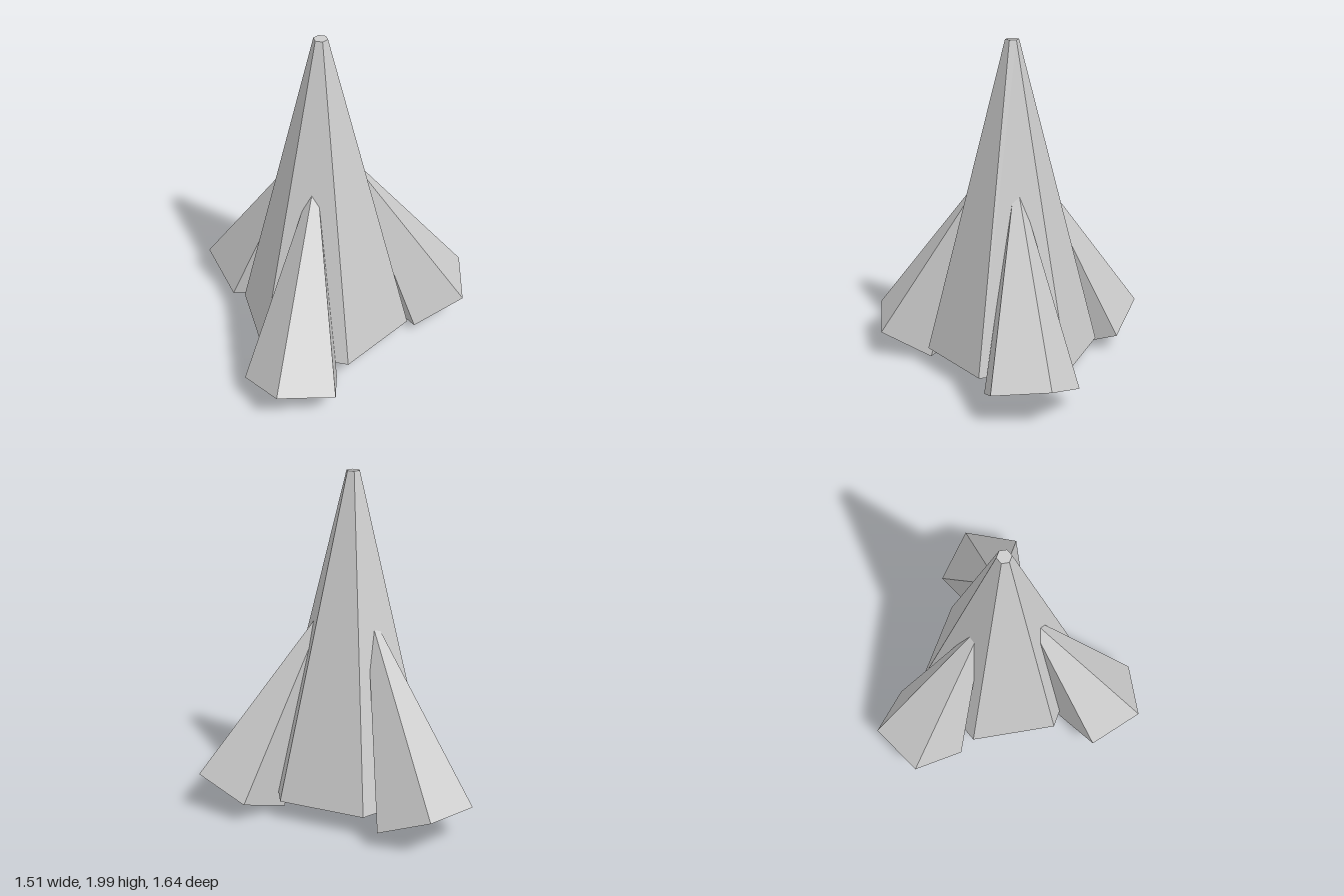
import * as THREE from 'three';

export function createModel() {
  const model = new THREE.Group();
  model.name = 'spireCluster';
  const grey = new THREE.MeshStandardMaterial({ color: 0xcccccc, flatShading: true });
  grey.name = 'light grey';

  const axisX = -0.158, axisZ = 0.015;

  // tall six-sided central spire with a small flat tip
  const spire = new THREE.Mesh(new THREE.CylinderGeometry(0.04, 0.518, 1.875, 6), grey);
  spire.name = 'mainSpire';
  spire.position.set(axisX, 0.125 + 1.875 / 2, axisZ);
  model.add(spire);

  // three five-sided spikes leaning in against the spire
  const tilt = THREE.MathUtils.degToRad(25);
  const height = 1.22;
  const names = ['leftSpike', 'frontSpike', 'backSpike'];
  const up = new THREE.Vector3(0, 1, 0);
  names.forEach((name, i) => {
    const a = (i * Math.PI * 2) / 3;
    const out = new THREE.Vector3(Math.cos(a), 0, Math.sin(a));
    const axis = out.clone().multiplyScalar(-Math.sin(tilt)).addScaledVector(up, Math.cos(tilt));
    const geometry = new THREE.CylinderGeometry(0.005, 0.29, height, 5, 1, false, Math.PI);
    geometry.translate(0, height / 2, 0);
    const spike = new THREE.Mesh(geometry, grey);
    spike.name = name;
    spike.quaternion.setFromUnitVectors(up, axis);
    spike.position.set(axisX, 0.128, axisZ).addScaledVector(out, 0.66);
    model.add(spike);
  });

  return model;
}
